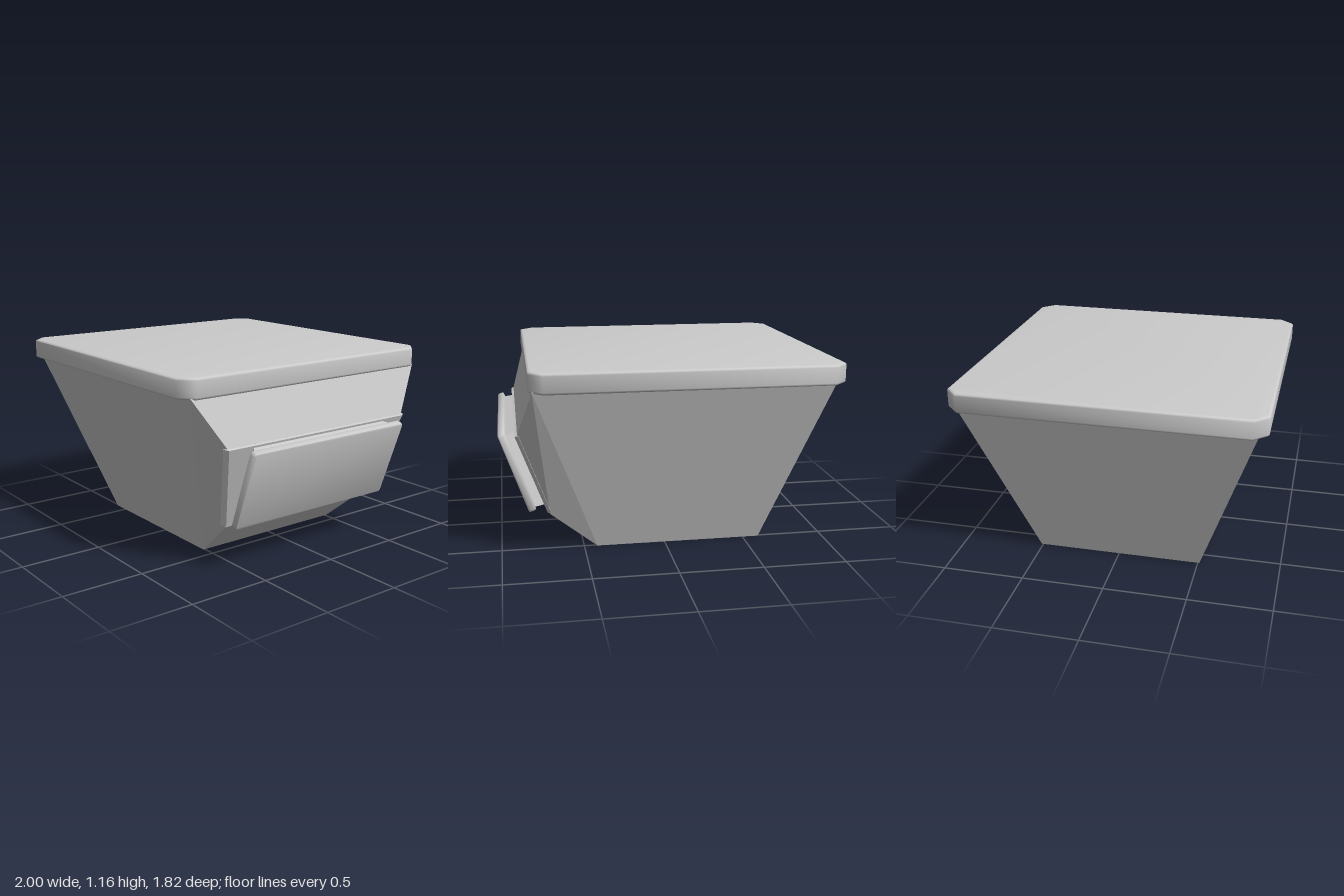
import * as THREE from 'three';
import { toCreasedNormals } from 'three/addons/utils/BufferGeometryUtils.js';
import { ConvexGeometry } from 'three/addons/geometries/ConvexGeometry.js';

const material = new THREE.MeshStandardMaterial({ color: 0xcccccc });

function add(parent, name, geometry) {
  const mesh = new THREE.Mesh(geometry, material);
  mesh.name = name;
  parent.add(mesh);
  return mesh;
}

// Flat-faced solid from corners [x, y, halfZ], mirrored front to back
function mirroredSolid(corners) {
  const points = corners.flatMap(([x, y, z]) => [
    new THREE.Vector3(x, y, z), new THREE.Vector3(x, y, -z),
  ]);
  return new ConvexGeometry(points);
}

// Slab with cut corners and softly rounded rims, extruded along z and centred
function softSlab(width, height, depth, cut, bevel) {
  const x = width / 2 - bevel, y = height / 2 - bevel;
  const outline = [
    [x - cut, -y], [x, -y + cut], [x, y - cut], [x - cut, y],
    [-x + cut, y], [-x, y - cut], [-x, -y + cut], [-x + cut, -y],
  ].map(([a, b]) => new THREE.Vector2(a, b));
  const geometry = new THREE.ExtrudeGeometry(new THREE.Shape(outline), {
    depth: depth - 2 * bevel, bevelEnabled: true,
    bevelThickness: bevel, bevelSize: bevel, bevelSegments: 4,
  });
  geometry.translate(0, 0, bevel - depth / 2);
  return toCreasedNormals(geometry, 0.9);
}

export function createModel() {
  const model = new THREE.Group();
  model.name = 'hopperWithPanel';

  // Tapered body with a wedge swelling out on the +x side
  add(model, 'body', mirroredSolid([
    [-0.6, 0, 0.51], [0.42, 0, 0.51],
    [0.705, 0.24, 0.56], [0.885, 0.765, 0.68],
    [0.8, 1.05, 0.86], [-0.94, 1.05, 0.86],
  ]));

  // Overhanging lid with cut corners
  const lid = add(model, 'lid', softSlab(1.82, 1.82, 0.12, 0.07, 0.015));
  lid.rotation.x = -Math.PI / 2;
  lid.position.set(-0.09, 1.1, 0);

  // Panel assembly: local x points out of the sloping face, local y runs up it
  const panel = new THREE.Group();
  panel.name = 'panelAssembly';
  panel.position.set(0.81, 0.505, 0);
  panel.rotation.z = -Math.atan2(0.18, 0.51);
  model.add(panel);

  // Thin flange with bevelled sides
  add(panel, 'flange', mirroredSolid([
    [-0.022, -0.27, 0.59], [-0.022, 0.27, 0.705],
    [0, -0.27, 0.565], [0, 0.27, 0.68],
  ]));

  // Mount flaring out towards the panel
  add(panel, 'mount', mirroredSolid([
    [-0.005, -0.233, 0.505], [-0.005, 0.256, 0.505],
    [0.06, -0.21, 0.55], [0.06, 0.259, 0.55],
  ]));

  // Front plate
  const plate = add(panel, 'frontPlate', softSlab(1.165, 0.51, 0.044, 0.008, 0.01));
  plate.rotation.y = Math.PI / 2;
  plate.position.set(0.077, 0.031, 0);

  return model;
}
